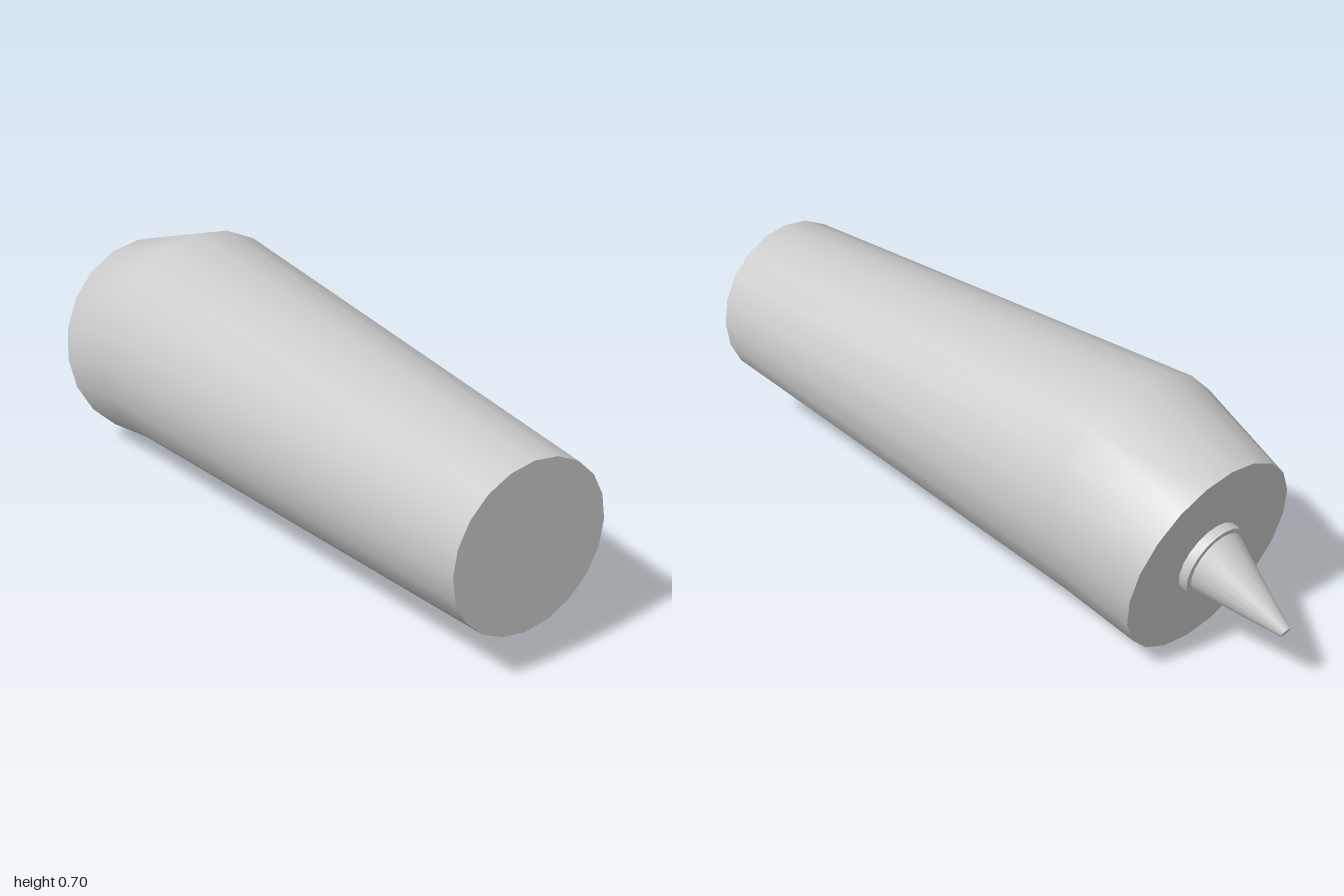
import * as THREE from 'three';

const SIDES = 20;
const material = new THREE.MeshStandardMaterial({ color: 0xcccccc });

// Loft through circular rings [x, y, radius, tilt], ordered from -x to +x,
// smooth along the sides with flat, sharp-edged end caps.
function loft(name, rings) {
  const pos = [], index = [];
  const addRing = ([x, y, r, tilt]) => {
    const start = pos.length / 3;
    for (let j = 0; j < SIDES; j++) {
      const a = (j / SIDES) * Math.PI * 2;
      const up = r * Math.cos(a);
      pos.push(x - up * Math.sin(tilt), y + up * Math.cos(tilt), r * Math.sin(a));
    }
    return start;
  };
  const starts = rings.map(addRing);
  for (let i = 0; i < rings.length - 1; i++) {
    for (let j = 0; j < SIDES; j++) {
      const k = (j + 1) % SIDES;
      const a = starts[i] + j, b = starts[i] + k;
      const c = starts[i + 1] + j, d = starts[i + 1] + k;
      index.push(a, b, c, b, d, c);
    }
  }
  // End caps with their own vertices
  [rings[0], rings[rings.length - 1]].forEach((ring, end) => {
    const s = addRing(ring);
    for (let j = 1; j < SIDES - 1; j++) {
      if (end) index.push(s, s + j, s + j + 1);
      else index.push(s, s + j + 1, s + j);
    }
  });
  const g = new THREE.BufferGeometry();
  g.setAttribute('position', new THREE.Float32BufferAttribute(pos, 3));
  g.setIndex(index);
  g.computeVertexNormals();
  const mesh = new THREE.Mesh(g, material);
  mesh.name = name;
  return mesh;
}

export function createModel() {
  const group = new THREE.Group();
  group.name = 'taperedSleeve';
  const tilt = 0.214;

  // Long tapered body with a slanted end
  group.add(loft('body', [
    [-0.7225, 0.2905, 0.294, tilt],
    [-0.465, 0.379, 0.329, 0],
    [1, 0.379, 0.244, 0],
  ]));

  // Short collar standing on the slanted end
  group.add(loft('collar', [
    [-0.75, 0.284, 0.109, tilt],
    [-0.715, 0.291, 0.109, tilt],
  ]));

  // Drooping blunt spike
  group.add(loft('spike', [
    [-0.992, 0.19, 0.016, 0.5],
    [-0.748, 0.286, 0.094, tilt],
  ]));

  return group;
}
